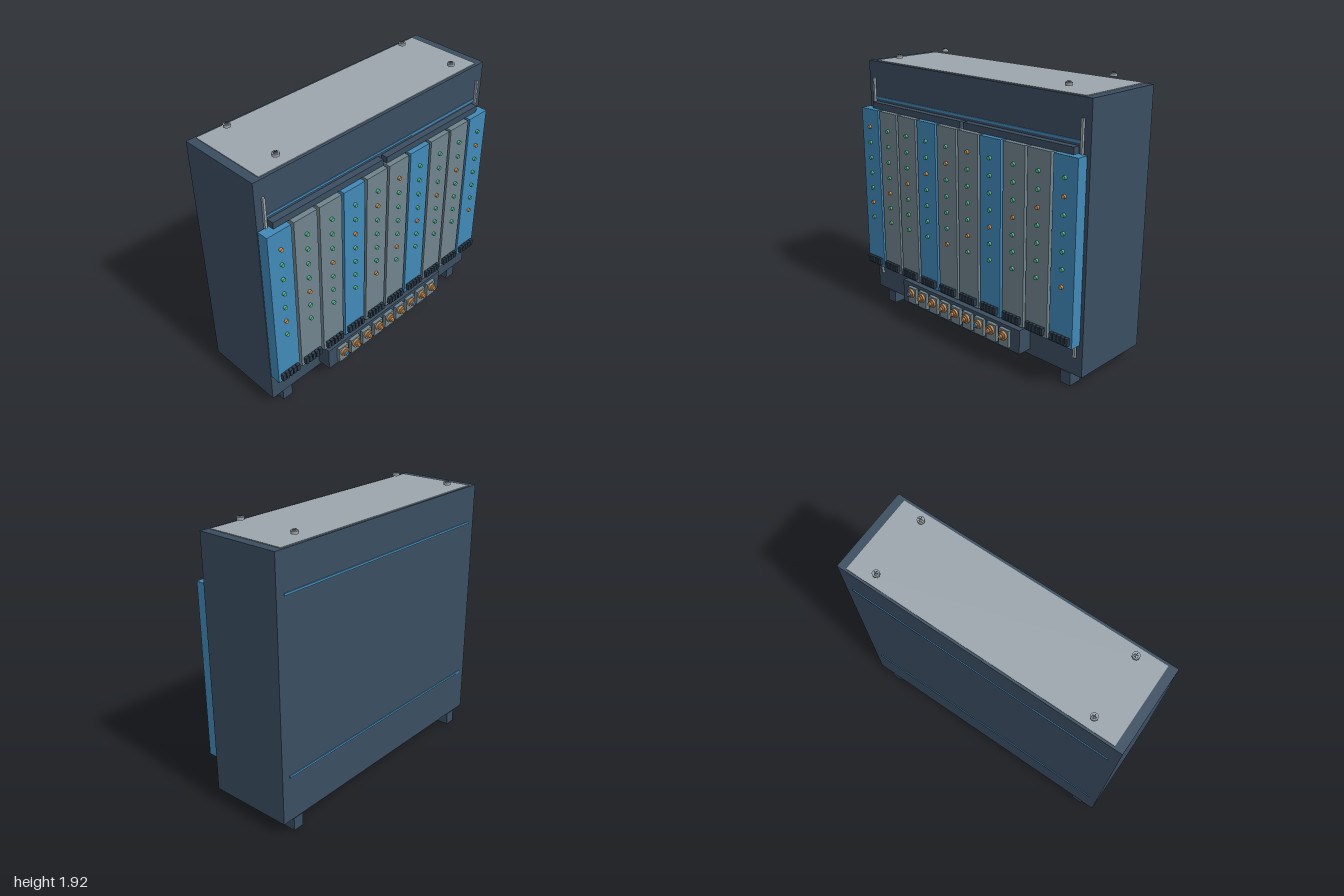
import * as THREE from 'three';

const mat = (name, color) => {
  const m = new THREE.MeshStandardMaterial({ color });
  m.name = name;
  return m;
};

export function createModel() {
  const navy = mat('navy steel', 0x3a4d60);
  const dark = mat('dark trim', 0x2b3a49);
  const blue = mat('blue', 0x4289b8);
  const slate = mat('slate grey', 0x70848d);
  const silver = mat('silver', 0x9ba5ac);
  const copper = mat('copper', 0xc58d55);
  const green = mat('green lamp', 0x4fb58c);

  const model = new THREE.Group();
  model.name = 'equipmentCabinet';

  const add = (parent, name, geometry, material, x, y, z) => {
    const mesh = new THREE.Mesh(geometry, material);
    mesh.name = name;
    mesh.position.set(x, y, z);
    parent.add(mesh);
    return mesh;
  };
  // Box given by its limits on each axis
  const box = (parent, name, material, x0, x1, y0, y1, z0, z1) =>
    add(parent, name, new THREE.BoxGeometry(x1 - x0, y1 - y0, z1 - z0), material,
      (x0 + x1) / 2, (y0 + y1) / 2, (z0 + z1) / 2);
  // Cylinder pointing forward, from z0 to z1
  const peg = (parent, name, material, r, x, y, z0, z1, sides = 16) =>
    add(parent, name, new THREE.CylinderGeometry(r, r, z1 - z0, sides).rotateX(Math.PI / 2),
      material, x, y, (z0 + z1) / 2);

  // Cabinet shell and lid
  box(model, 'cabinet', navy, -1, 1, 0.1, 1.86, -0.38, 0.22);
  box(model, 'topPlate', silver, -0.94, 0.94, 1.86, 1.865, -0.365, 0.2);

  // Feet and cross-head lid screws
  for (const s of [-1, 1]) {
    for (const z of [-0.322, 0.16]) {
      box(model, 'foot', navy, s * 0.865 - 0.04, s * 0.865 + 0.04, 0, 0.09, z - 0.052, z + 0.052);
    }
    for (const z of [-0.3, 0.135]) {
      const screw = new THREE.Group();
      screw.name = 'lidScrew';
      screw.position.set(s * 0.76, 1.89, z);
      add(screw, 'screwHead', new THREE.CylinderGeometry(0.024, 0.024, 0.018, 16), silver, 0, 0.009, 0);
      add(screw, 'screwCap', new THREE.CylinderGeometry(0.015, 0.015, 0.006, 16), silver, 0, 0.021, 0);
      box(screw, 'screwSlot', dark, -0.013, 0.013, 0.02, 0.026, -0.003, 0.003);
      box(screw, 'screwSlot', dark, -0.003, 0.003, 0.02, 0.0255, -0.013, 0.013);
      model.add(screw);
    }
    // Vertical mounting rails
    box(model, 'mountingRail', silver, s * 0.942 - 0.008, s * 0.942 + 0.008, 0.225, 1.74, 0.22, 0.236);
  }

  // Blue trim lines, front and back
  for (const y of [0.42, 1.6]) {
    box(model, 'frontTrim', blue, -0.93, 0.93, y - 0.008, y + 0.008, 0.22, 0.225);
    box(model, 'backTrim', blue, -0.94, 0.94, y - 0.007, y + 0.007, -0.386, -0.38);
  }

  // Cable ducts behind the modules
  for (const [y0, y1] of [[1.53, 1.575], [1.03, 1.08]]) {
    box(model, 'cableDuct', navy, -0.92, -0.018, y0, y1, 0.22, 0.267);
    box(model, 'cableDuct', navy, 0.012, 0.915, y0, y1, 0.22, 0.267);
  }

  // Ten plug-in modules with status lamps and vents
  for (let i = 0; i < 10; i++) {
    const unit = new THREE.Group();
    unit.name = 'module';
    unit.position.x = -0.91 + 0.2 * i;
    box(unit, 'moduleCase', i % 3 === 0 ? blue : slate, -0.09, 0.09, 0.325, 1.53, 0.226, 0.305);
    for (let row = 0; row < 7; row++) {
      peg(unit, 'statusLamp', (i + row) % 5 === 0 ? copper : green, 0.013,
        0, 1.4 - row * 0.1143, 0.305, 0.322, 10);
    }
    for (let k = -2; k <= 2; k++) {
      box(unit, 'ventBar', dark, k * 0.03 - 0.0115, k * 0.03 + 0.0115, 0.345, 0.395, 0.305, 0.33);
    }
    model.add(unit);
  }

  // Connector panel with nine sockets
  box(model, 'connectorPanel', navy, -0.578, 0.572, 0.14, 0.31, 0.22, 0.325);
  for (let i = 0; i < 9; i++) {
    const socket = new THREE.Group();
    socket.name = 'socket';
    socket.position.x = -0.46 + 0.1143 * i;
    box(socket, 'socketPlate', slate, -0.042, 0.042, 0.165, 0.287, 0.325, 0.35);
    peg(socket, 'socketCollar', copper, 0.032, 0, 0.246, 0.35, 0.366, 20);
    peg(socket, 'socketBarrel', copper, 0.022, 0, 0.246, 0.366, 0.376, 20);
    peg(socket, 'socketTip', i % 6 === 0 ? blue : copper, 0.014, 0, 0.246, 0.376, 0.389, 14);
    model.add(socket);
  }

  return model;
}
